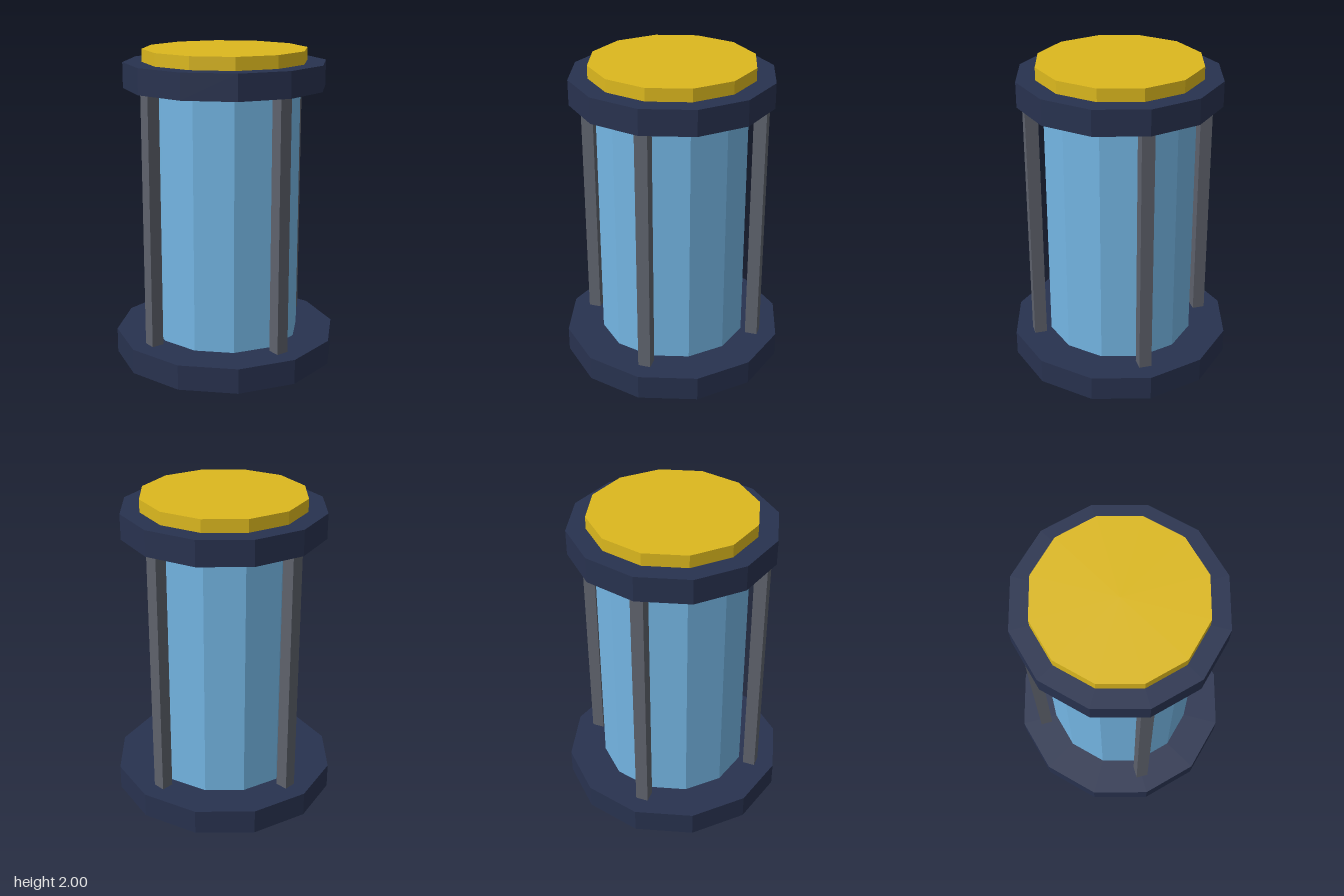
import * as THREE from 'three';

export function createModel() {
  const model = new THREE.Group();
  const material = (color) => new THREE.MeshStandardMaterial({ color, flatShading: true });
  const navy = material(0x28324f);
  const gold = material(0xdcb81e);
  const blue = material(0x74b6e4);
  const steel = material(0x5e626c);

  // Twelve-sided disc or drum spanning y0..y1
  function drum(name, radius, y0, y1, mat) {
    const mesh = new THREE.Mesh(new THREE.CylinderGeometry(radius, radius, y1 - y0, 12), mat);
    mesh.name = name;
    mesh.position.y = (y0 + y1) / 2;
    model.add(mesh);
  }

  drum('base', 0.72, 0, 0.16, navy);
  drum('tank', 0.48, 0.16, 1.76, blue);
  drum('topCollar', 0.64, 1.76, 1.92, navy);
  drum('lid', 0.52, 1.92, 2, gold);

  // Four square posts around the tank
  const posts = new THREE.Group();
  posts.name = 'posts';
  const postGeometry = new THREE.BoxGeometry(0.08, 1.6, 0.08);
  for (const [x, z, side] of [[0, 1, 'front'], [0, -1, 'back'], [1, 0, 'left'], [-1, 0, 'right']]) {
    const post = new THREE.Mesh(postGeometry, steel);
    post.name = side + 'Post';
    post.position.set(x * 0.56, 0.96, z * 0.56);
    posts.add(post);
  }
  model.add(posts);

  return model;
}
